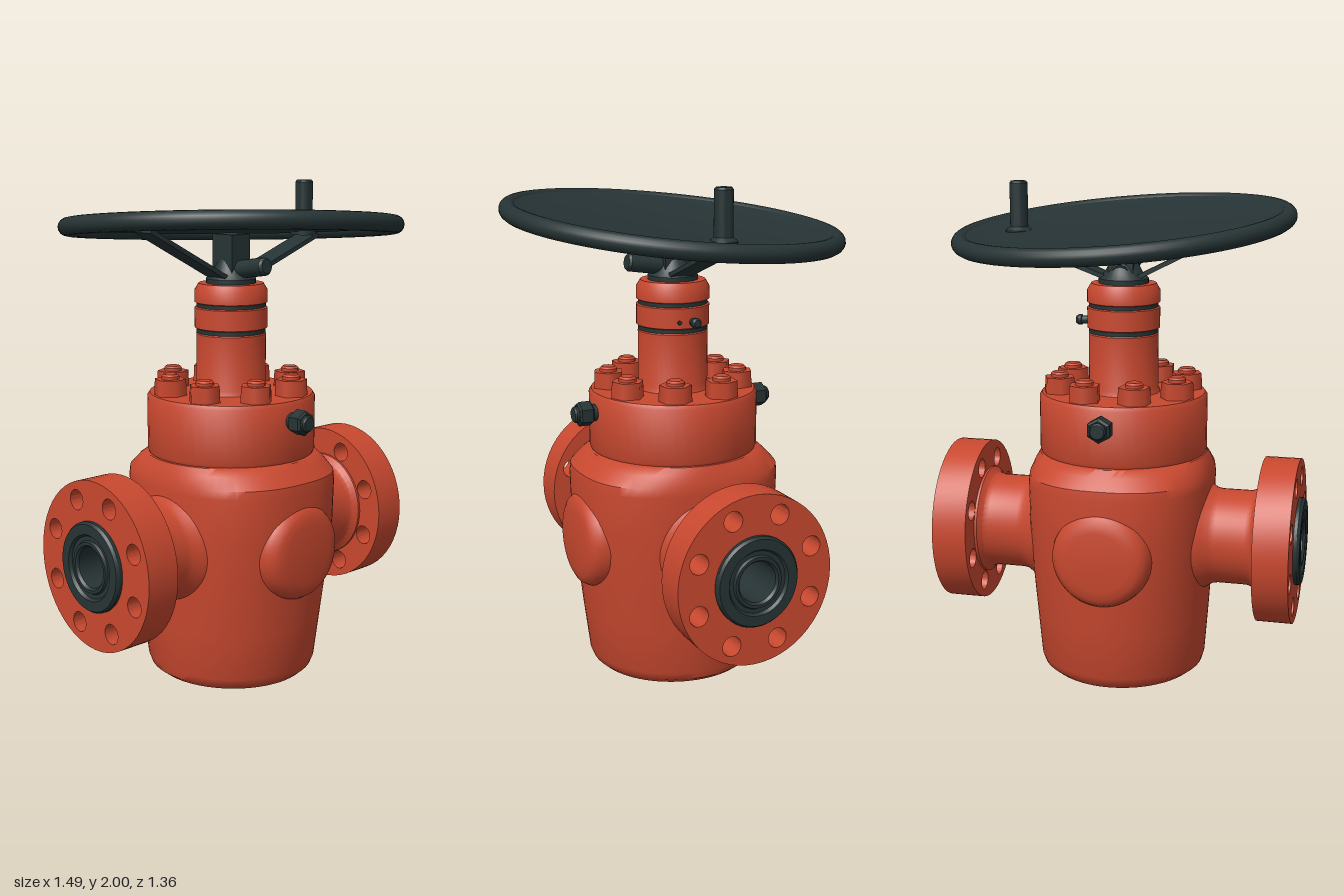
import * as THREE from 'three';
import { toCreasedNormals } from 'three/addons/utils/BufferGeometryUtils.js';

const mat = (name, color) => new THREE.MeshStandardMaterial({ name, color });

export function createModel() {
  const red = mat('red paint', 0xc8482f);
  const dark = mat('dark metal', 0x263334);
  const core = mat('bore red', 0x6a2a2a);
  const model = new THREE.Group();
  model.name = 'gateValve';

  const add = (parent, name, geo, material, x = 0, y = 0, z = 0) => {
    const mesh = new THREE.Mesh(geo, material);
    mesh.name = name;
    mesh.position.set(x, y, z);
    parent.add(mesh);
    return mesh;
  };
  // Turned part from [radius, height] pairs, listed bottom to top
  const turned = (pts, sides = 48) =>
    toCreasedNormals(new THREE.LatheGeometry(pts.map(p => new THREE.Vector2(...p)), sides), 0.6);
  // The same, with its axis along +z
  const turnedZ = (pts, sides) => turned(pts, sides).rotateX(Math.PI / 2);
  // Group whose +z points outward from the body
  const outward = (name, angle, y) => {
    const g = new THREE.Group();
    g.name = name;
    g.position.y = y;
    g.rotation.y = angle;
    model.add(g);
    return g;
  };

  // Body: round at the foot, squarer at the shoulder, hollowed underneath
  // Each section is [y, half width, half depth, squareness]
  const sections = [
    [0.07, 0.001, 0.001, 2], [0.06, 0.12, 0.12, 2], [0.035, 0.185, 0.185, 2],
    [0.005, 0.225, 0.225, 2], [0, 0.25, 0.25, 2], [0.008, 0.305, 0.315, 2],
    [0.03, 0.333, 0.34, 2], [0.06, 0.342, 0.352, 2.02], [0.25, 0.355, 0.375, 2.1],
    [0.45, 0.366, 0.395, 2.25], [0.65, 0.37, 0.41, 2.45], [0.82, 0.37, 0.414, 2.5],
    [0.855, 0.366, 0.41, 2.5], [0.9, 0.35, 0.37, 2.3], [0.925, 0.338, 0.345, 2.05],
    [0.932, 0.3, 0.3, 2]
  ];
  const N = 72, pos = [], idx = [];
  for (const [y, rx, rz, n] of sections) {
    for (let i = 0; i < N; i++) {
      const a = i / N * Math.PI * 2, c = Math.cos(a), s = Math.sin(a);
      const k = Math.pow(Math.abs(c) ** n + Math.abs(s) ** n, -1 / n);
      pos.push(rx * c * k, y, rz * s * k);
    }
  }
  for (let k = 0; k < sections.length - 1; k++) {
    for (let i = 0; i < N; i++) {
      const j = (i + 1) % N, a = k * N + i, b = k * N + j;
      idx.push(a, a + N, b, b, a + N, b + N);
    }
  }
  const bodyGeo = new THREE.BufferGeometry();
  bodyGeo.setAttribute('position', new THREE.Float32BufferAttribute(pos, 3));
  bodyGeo.setIndex(idx);
  add(model, 'body', toCreasedNormals(bodyGeo, 0.6), red);

  // Bonnet and its ring of hex bolts
  add(model, 'bonnet', turned([[0.3, 0.925], [0.335, 0.928], [0.34, 0.94], [0.34, 1.155],
    [0.33, 1.17], [0, 1.17]]), red);
  for (let i = 0; i < 8; i++) {
    const a = (i + 0.5) * Math.PI / 4, bolt = new THREE.Group();
    bolt.name = 'bonnetBolt';
    bolt.position.set(0.26 * Math.cos(a), 1.165, 0.26 * Math.sin(a));
    bolt.rotation.y = -a;
    add(bolt, 'nut', new THREE.CylinderGeometry(0.063, 0.066, 0.07, 6), red, 0, 0.035);
    add(bolt, 'studEnd', turned([[0.036, 0.06], [0.036, 0.082], [0.028, 0.09], [0, 0.09]], 16), red);
    model.add(bolt);
  }

  // Neck with two dark grooves
  add(model, 'neck', turned([[0.15, 1.165], [0.14, 1.19], [0.14, 1.405], [0.132, 1.412], [0.132, 1.425],
    [0.146, 1.43], [0.146, 1.51], [0.134, 1.516], [0.134, 1.526], [0.146, 1.532], [0.146, 1.58],
    [0.13, 1.607], [0, 1.607]]), red);
  for (const y of [1.418, 1.521]) {
    add(model, 'neckSeal', new THREE.CylinderGeometry(0.139, 0.139, 0.016, 48), dark, 0, y);
  }
  const nipple = outward('greaseFitting', Math.PI / 2, 1.455);
  add(nipple, 'fitting', turnedZ([[0.016, 0.13], [0.016, 0.165], [0.021, 0.167], [0.021, 0.18],
    [0.014, 0.19], [0, 0.19]], 16), dark, 0.02);
  add(nipple, 'ventPlug', turnedZ([[0.009, 0.13], [0.009, 0.147], [0, 0.147]], 12), dark, -0.035);

  // Bosses and drain fittings, front and back
  for (const angle of [0, Math.PI]) {
    const boss = outward('bodyBoss', angle, 0.575);
    add(boss, 'boss', turnedZ([[0.2, 0.36], [0.192, 0.395], [0.178, 0.418], [0.155, 0.431],
      [0.12, 0.437], [0, 0.44]]), red);
    const drain = outward('bonnetFitting', angle, 1.095);
    add(drain, 'stem', turnedZ([[0.034, 0.32], [0.034, 0.37], [0, 0.37]], 20), dark);
    add(drain, 'hexNut', turnedZ([[0.042, 0.355], [0.05, 0.362], [0.05, 0.408], [0.04, 0.415], [0, 0.415]], 6), dark);
    add(drain, 'tip', turnedZ([[0.033, 0.41], [0.033, 0.425], [0.027, 0.432], [0, 0.432]], 20), dark);
  }

  // Flanged ports, left and right
  const face = new THREE.Shape();
  face.absarc(0, 0, 0.335, 0, Math.PI * 2);
  for (let i = 0; i <= 8; i++) {
    // Eight bolt holes, then the bore
    const hole = new THREE.Path(), a = (i + 0.5) * Math.PI / 4;
    if (i < 8) hole.absarc(0.265 * Math.cos(a), 0.265 * Math.sin(a), 0.04, 0, Math.PI * 2, true);
    else hole.absarc(0, 0, 0.1, 0, Math.PI * 2, true);
    face.holes.push(hole);
  }
  const flangeGeo = toCreasedNormals(
    new THREE.ExtrudeGeometry(face, { depth: 0.142, bevelEnabled: false, curveSegments: 28 }), 0.6);
  for (const side of [1, -1]) {
    const port = outward(side > 0 ? 'leftPort' : 'rightPort', side * Math.PI / 2, 0.585);
    port.scale.x = 0.95;
    port.position.z = -0.005;
    add(port, 'flange', flangeGeo, red, 0, 0, 0.58);
    add(port, 'pipe', turnedZ([[0.24, 0.3], [0.215, 0.36], [0.198, 0.385], [0.193, 0.41], [0.193, 0.53],
      [0.2, 0.552], [0.223, 0.57], [0.223, 0.581]]), red);
    add(port, 'sealRing', turnedZ([[0.178, 0.715], [0.178, 0.736], [0.17, 0.747], [0.13, 0.747],
      [0.122, 0.735], [0.105, 0.735], [0.1, 0.745], [0.088, 0.745], [0.08, 0.735], [0.08, 0.5]]), dark);
    add(port, 'boreEnd', new THREE.CircleGeometry(0.082, 32), core, 0, 0, 0.505);
  }

  // Hub, yoke and cross pin below the handwheel
  add(model, 'hub', turned([[0.1, 1.6], [0.1, 1.625], [0.075, 1.65], [0.05, 1.7], [0, 1.7]], 24), dark);
  add(model, 'yoke', new THREE.BoxGeometry(0.1, 0.18, 0.11), dark, 0, 1.71, 0);
  const pin = add(model, 'crossPin', turnedZ([[0, -0.06], [0.036, -0.06], [0.036, 0.19],
    [0.028, 0.2], [0, 0.2]], 20), dark, 0, 1.655, 0);
  pin.rotation.x = -0.15;

  // Flat spokes rising to the wheel
  for (const [x, y] of [[-0.46, 1.835], [0.46, 1.775]]) {
    const x0 = Math.sign(x) * 0.05, y0 = 1.625, dx = x - x0, dy = y - y0;
    const spoke = add(model, 'spoke', new THREE.BoxGeometry(Math.hypot(dx, dy), 0.018, 0.1), dark,
      (x + x0) / 2, (y + y0) / 2, 0);
    spoke.rotation.z = Math.atan2(dy, dx);
  }

  // Tilted handwheel: round rim and shallow dished plate
  const wheel = new THREE.Group();
  wheel.name = 'handwheel';
  wheel.position.y = 1.828;
  wheel.quaternion.setFromUnitVectors(new THREE.Vector3(0, 1, 0),
    new THREE.Vector3(0.068, 1, -0.08).normalize());
  add(wheel, 'rim', new THREE.TorusGeometry(0.645, 0.035, 16, 96).rotateX(Math.PI / 2), dark);
  add(wheel, 'plate', turned([[0, -0.012], [0.54, -0.012], [0.6, 0], [0.64, 0.005], [0.64, 0.028],
    [0.6, 0.02], [0.54, 0.006], [0, 0.006]], 96), dark);
  model.add(wheel);

  // Upright handle with a small collar
  add(model, 'handle', turned([[0.055, 1.775], [0.055, 1.805], [0.036, 1.82], [0.036, 1.992],
    [0.03, 2], [0, 2]], 24), dark, 0.43, 0, -0.005);

  return model;
}
